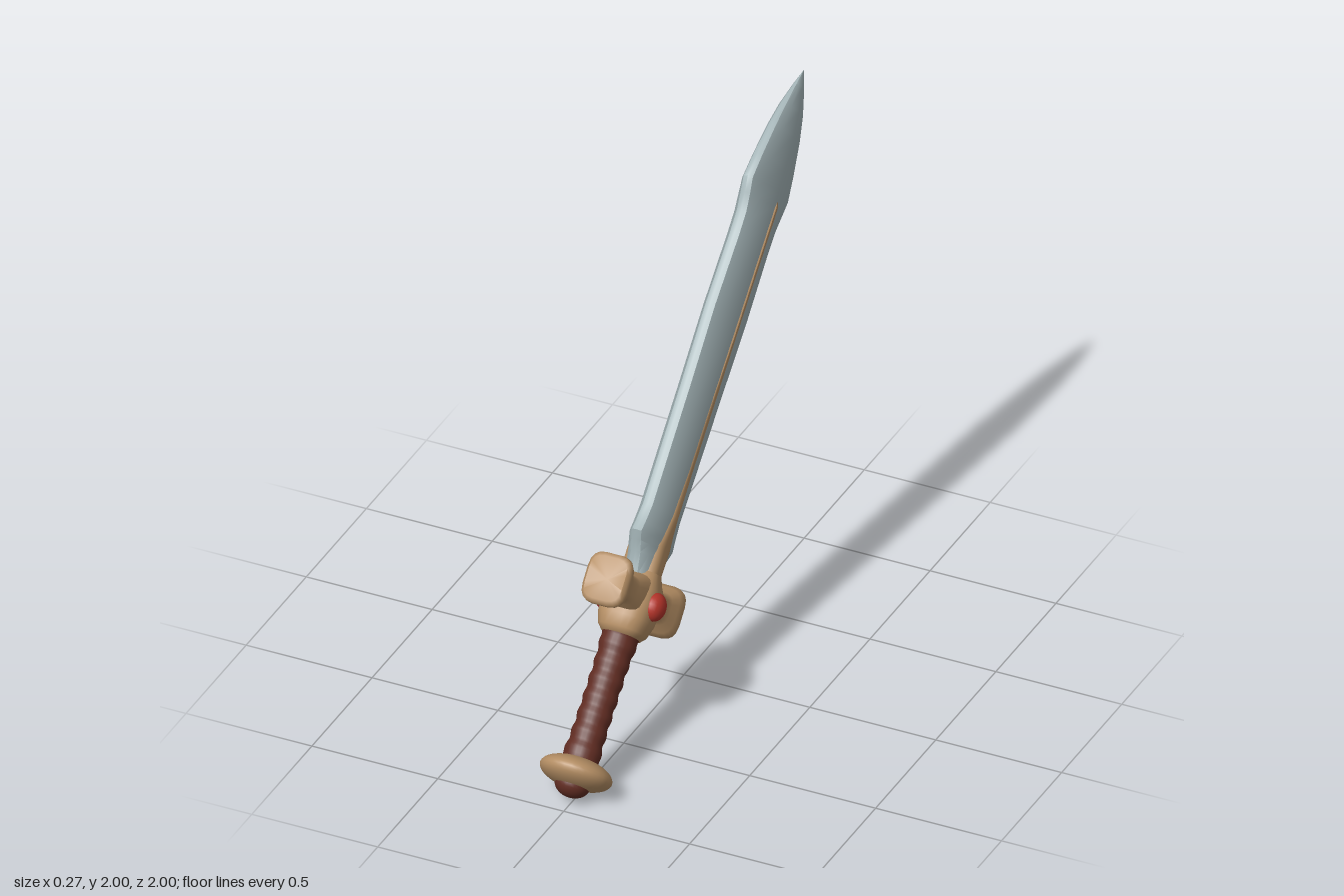
import * as THREE from 'three';
import { toCreasedNormals } from 'three/addons/utils/BufferGeometryUtils.js';

const mat = (name, color) => {
  const m = new THREE.MeshStandardMaterial({ color });
  m.name = name;
  return m;
};

// Closed loft along y. ring: unit [x, z] points; sections: [y, halfX, halfZ]; dip sinks the top cap.
function loft(ring, sections, dip = 0, crease = 0.7) {
  const n = ring.length, pos = [], idx = [];
  for (const [y, hx, hz] of sections) for (const [x, z] of ring) pos.push(x * hx, y, z * hz);
  for (let i = 0; i < sections.length - 1; i++) {
    for (let j = 0; j < n; j++) {
      const a = i * n + j, b = i * n + (j + 1) % n;
      idx.push(a, a + n, b, b, a + n, b + n);
    }
  }
  const bottom = pos.length / 3, top = bottom + 1, last = (sections.length - 1) * n;
  pos.push(0, sections[0][0], 0, 0, sections.at(-1)[0] - dip, 0);
  for (let j = 0; j < n; j++) {
    const k = (j + 1) % n;
    idx.push(bottom, j, k, top, last + k, last + j);
  }
  const g = new THREE.BufferGeometry();
  g.setAttribute('position', new THREE.Float32BufferAttribute(pos, 3));
  g.setIndex(idx);
  return toCreasedNormals(g, crease);
}

// Rounded-square ring
function softRing(n, power) {
  return Array.from({ length: n }, (_, i) => {
    const a = ((i + 0.5) / n) * Math.PI * 2;
    return [Math.cos(a), Math.sin(a)].map(v => Math.sign(v) * Math.abs(v) ** power);
  });
}

export function createModel() {
  const steel = mat('steel', 0xa2b2b5);
  const bronze = mat('bronze', 0xb38d63);
  const leather = mat('leather', 0x602c22);
  const ruby = mat('ruby', 0xb23329);

  const model = new THREE.Group();
  model.name = 'sword';
  const sword = new THREE.Group();
  sword.name = 'tiltedSword';
  sword.position.y = 1;
  sword.rotation.x = -Math.PI / 4;
  model.add(sword);

  const add = (name, geo, material, parent = sword) => {
    const m = new THREE.Mesh(geo, material);
    m.name = name;
    parent.add(m);
    return m;
  };

  // Blade: bevelled section, waisted shoulders and leaf-shaped point
  const quarter = [[1, 0.1], [0.68, 0.72], [0.3, 0.97]];
  const half = [...quarter, [0, 1], ...quarter.map(([x, z]) => [-x, z]).reverse()];
  const bladeRing = [...half, ...half.map(([x, z]) => [-x, -z])];
  add('blade', loft(bladeRing, [
    [-0.58, 0.05, 0.065], [-0.53, 0.056, 0.075], [-0.45, 0.06, 0.118], [-0.415, 0.062, 0.15],
    [-0.385, 0.062, 0.176], [-0.35, 0.062, 0.164], [-0.28, 0.062, 0.148], [-0.13, 0.062, 0.152],
    [0.18, 0.062, 0.158], [0.48, 0.062, 0.17], [0.75, 0.062, 0.158], [0.835, 0.062, 0.161],
    [0.9, 0.062, 0.182], [0.955, 0.06, 0.204], [1.05, 0.055, 0.178], [1.17, 0.047, 0.135],
    [1.26, 0.036, 0.094], [1.35, 0.017, 0.042], [1.414, 0, 0],
  ]), steel);

  // Raised inlay along both blade faces, flaring toward the guard
  add('bladeInlay', loft(softRing(16, 0.6), [
    [-0.6, 0.085, 0.07], [-0.5, 0.072, 0.055], [-0.4, 0.07, 0.066], [-0.35, 0.069, 0.052],
    [-0.28, 0.068, 0.034], [-0.1, 0.067, 0.024], [0.4, 0.067, 0.02], [0.9, 0.067, 0.019], [0.93, 0.06, 0.01],
  ]), bronze);

  // Guard: hub with two fishtail arms
  const guard = new THREE.Group();
  guard.name = 'guard';
  guard.position.y = -0.59;
  guard.rotation.x = 0.06;
  sword.add(guard);
  const armGeo = loft(softRing(20, 0.55), [
    [0, 0.08, 0.085], [0.08, 0.076, 0.075], [0.13, 0.064, 0.056], [0.18, 0.06, 0.05],
    [0.22, 0.067, 0.062], [0.255, 0.08, 0.085], [0.285, 0.086, 0.097], [0.305, 0.084, 0.095], [0.315, 0.074, 0.08],
  ], 0.02, 1);
  for (const side of [1, -1]) {
    add(side > 0 ? 'upperGuardArm' : 'lowerGuardArm', armGeo, bronze, guard).rotation.x = side * Math.PI / 2;
  }
  add('guardHub', loft(softRing(24, 0.75), [
    [-0.745, 0.07, 0.07], [-0.725, 0.087, 0.087], [-0.68, 0.1, 0.1], [-0.62, 0.105, 0.103],
    [-0.56, 0.096, 0.09], [-0.5, 0.074, 0.06],
  ], 0, 1), bronze);

  // Gems on both faces of the hub
  for (const side of [1, -1]) {
    const gem = add(side > 0 ? 'leftGem' : 'rightGem', new THREE.SphereGeometry(1, 20, 14), ruby);
    gem.scale.set(0.04, 0.053, 0.053);
    gem.position.set(side * 0.097, -0.615, 0.012);
  }

  // Wrapped grip with soft ridges
  const gripPoints = [];
  for (let i = 0; i <= 48; i++) {
    const t = i / 48;
    const r = 0.062 + 0.014 * (2 * t - 1) ** 4 + 0.003 * Math.cos(t * Math.PI * 16);
    gripPoints.push(new THREE.Vector2(r, -1.25 + t * 0.53));
  }
  add('grip', new THREE.LatheGeometry(gripPoints, 24), leather);

  // Lens-shaped pommel with a leather end cap
  const pommel = add('pommel', new THREE.SphereGeometry(1, 32, 18), bronze);
  pommel.scale.set(0.136, 0.058, 0.134);
  pommel.position.y = -1.268;
  const cap = add('pommelCap', new THREE.SphereGeometry(1, 24, 14), leather);
  cap.scale.set(0.066, 0.05, 0.066);
  cap.position.y = -1.31;

  return model;
}
